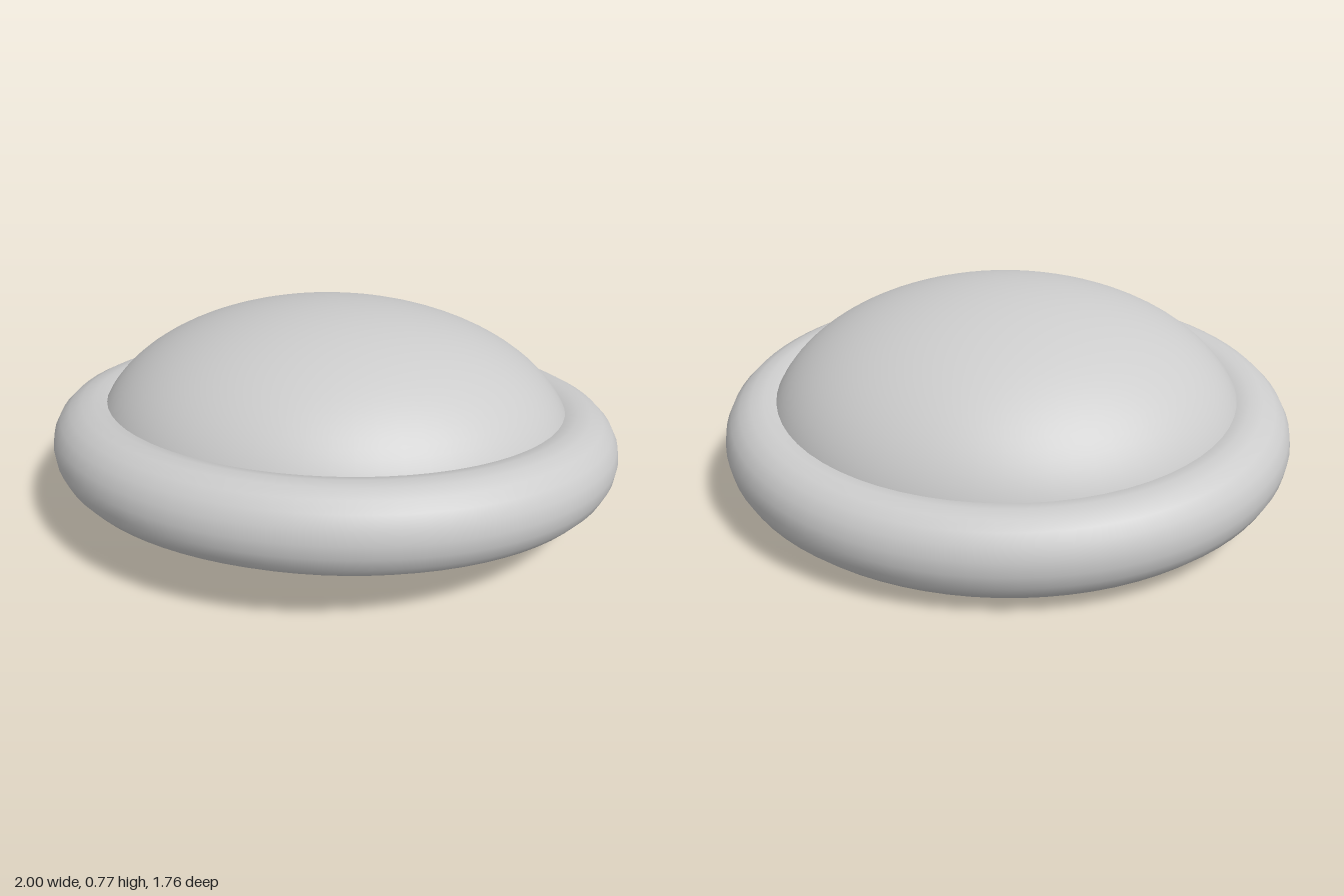
import * as THREE from 'three';

const DEPTH = 0.885; // front-to-back squash of the oval

export function createModel() {
  const model = new THREE.Group();
  const material = new THREE.MeshStandardMaterial({ color: 0xcccccc });

  // everything shares one oval, tilted so the front sits higher
  const body = new THREE.Group();
  body.name = 'tiltedBody';
  body.position.y = 0.283;
  body.rotation.x = -0.12;
  model.add(body);

  const add = (name, geometry) => {
    const mesh = new THREE.Mesh(geometry, material);
    mesh.name = name;
    body.add(mesh);
  };

  // half ellipsoid: upper or lower
  const halfShell = (radius, height, upper) =>
    new THREE.SphereGeometry(1, 64, 24, 0, Math.PI * 2, upper ? 0 : Math.PI / 2, Math.PI / 2)
      .scale(radius, height, radius * DEPTH);

  // rounded rim
  add('rim', new THREE.TorusGeometry(0.85, 0.15, 20, 80)
    .rotateX(Math.PI / 2).scale(1, 1, DEPTH));

  // tall dome above, shallow bowl below
  add('dome', halfShell(0.845, 0.487, true));
  add('underside', halfShell(0.88, 0.26, false));

  return model;
}
